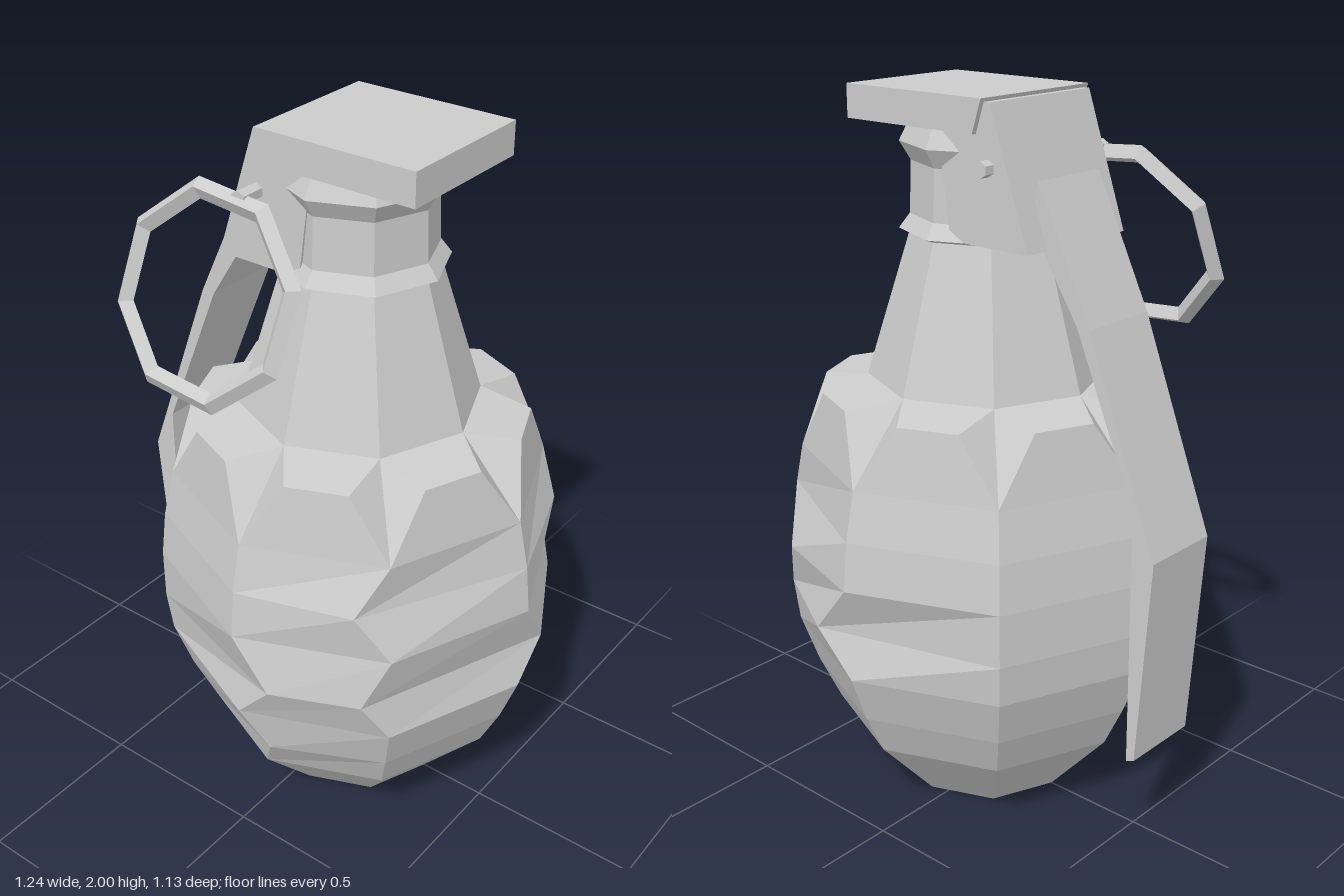
import * as THREE from 'three';

const grey = () => new THREE.MeshStandardMaterial({ color: 0xcccccc, flatShading: true });
const AXIS_X = 0.05; // body axis sits slightly off centre
const SIDES = 8;

function add(parent, name, geometry, x = 0, y = 0, z = 0) {
  const mesh = new THREE.Mesh(geometry, grey());
  mesh.name = name;
  mesh.position.set(x, y, z);
  parent.add(mesh);
  return mesh;
}

// Point on the body: angle in degrees from the front (+z) toward +x
function polar(r, y, deg) {
  const a = THREE.MathUtils.degToRad(deg);
  return [r * Math.sin(a), y, r * Math.cos(a)];
}

// Octagonal segmented body with notched shoulders
function bodyGeometry() {
  const levels = [[0.25, 0], [0.44, 0.215], [0.5, 0.34], [0.55, 0.48],
    [0.565, 0.6], [0.565, 0.75], [0.55, 0.885], [0.52, 1.02]];
  // Irregular facets: 'level,column' -> shift in degrees
  const shift = { '2,0': 7, '4,0': 11, '4,1': -8, '6,1': -10,
    '4,2': 10, '4,4': -13, '5,3': 10, '6,3': -7 };
  const rings = levels.map(([r, y], l) => Array.from({ length: SIDES }, (_, i) =>
    polar(r, y, i * 45 + (shift[`${l},${i}`] || 0))));

  const out = [];
  const tri = (a, b, c) => out.push(...a, ...b, ...c);
  const quad = (a, b, c, d) => { tri(a, b, c); tri(a, c, d); };

  for (let l = 0; l < rings.length - 1; l++) {
    for (let i = 0; i < SIDES; i++) {
      const j = (i + 1) % SIDES;
      quad(rings[l][i], rings[l][j], rings[l + 1][j], rings[l + 1][i]);
    }
  }
  // Shoulder blocks with a V groove at every corner, and the base
  const top = rings[rings.length - 1];
  const neck = (i) => polar(0.33, 1.225, i * 45);
  const flank = (i, side) => polar(0.46, 1.2, i * 45 + side * 12);
  for (let i = 0; i < SIDES; i++) {
    const j = (i + 1) % SIDES;
    tri(top[i], neck(i), flank(i, -1));
    tri(top[i], flank(i, 1), neck(i));
    quad(top[i], top[j], flank(j, -1), flank(i, 1));
    quad(flank(i, 1), flank(j, -1), neck(j), neck(i));
    tri([0, 0, 0], rings[0][j], rings[0][i]);
  }
  const g = new THREE.BufferGeometry();
  g.setAttribute('position', new THREE.Float32BufferAttribute(out, 3));
  g.computeVertexNormals();
  return g;
}

// Front-view outline extruded symmetrically in z
function slab(points, width) {
  const shape = new THREE.Shape(points.map(([x, y]) => new THREE.Vector2(x, y)));
  const g = new THREE.ExtrudeGeometry(shape, { depth: width, bevelEnabled: false });
  return g.translate(0, 0, -width / 2);
}

export function createModel() {
  const model = new THREE.Group();
  model.name = 'grenade';

  add(model, 'body', bodyGeometry(), AXIS_X);

  // Tapered neck
  add(model, 'neck', new THREE.CylinderGeometry(0.2, 0.33, 0.42, SIDES, 1, true), AXIS_X, 1.435, 0);

  // Flared fuse collar
  const collar = [[0.18, 1.61], [0.235, 1.63], [0.205, 1.67], [0.2, 1.81], [0.23, 1.86], [0.2, 1.92]]
    .map(([x, y]) => new THREE.Vector2(x, y));
  add(model, 'fuseCollar', new THREE.LatheGeometry(collar, SIDES), AXIS_X);

  // Cap plate and the slanted housing hanging from it
  add(model, 'capPlate', slab([[-0.09, 1.91], [0.355, 1.91], [0.355, 2], [-0.12, 2]], 0.42));
  add(model, 'leverHousing', slab([[-0.26, 1.63], [0, 1.63], [0.04, 1.91], [-0.1, 1.99], [-0.135, 1.99]], 0.39));

  // Safety lever, bent down along the body
  add(model, 'safetyLever', slab([[-0.23, 1.8], [-0.4, 1.45], [-0.62, 0.88], [-0.58, 0.29],
    [-0.555, 0.28], [-0.55, 1.0], [-0.36, 1.45], [-0.2, 1.7]], 0.24));

  // Pin through the housing
  const pin = add(model, 'pin', new THREE.CylinderGeometry(0.022, 0.022, 0.49, 6), -0.13, 1.83, 0.02);
  pin.rotation.x = Math.PI / 2;

  // Tilted pull ring
  const ringGeometry = new THREE.TorusGeometry(0.27, 0.028, 4, 8).rotateZ(Math.PI / 10);
  const ring = add(model, 'pullRing', ringGeometry, -0.18, 1.585, 0.345);
  ring.rotation.x = -0.36;

  return model;
}
